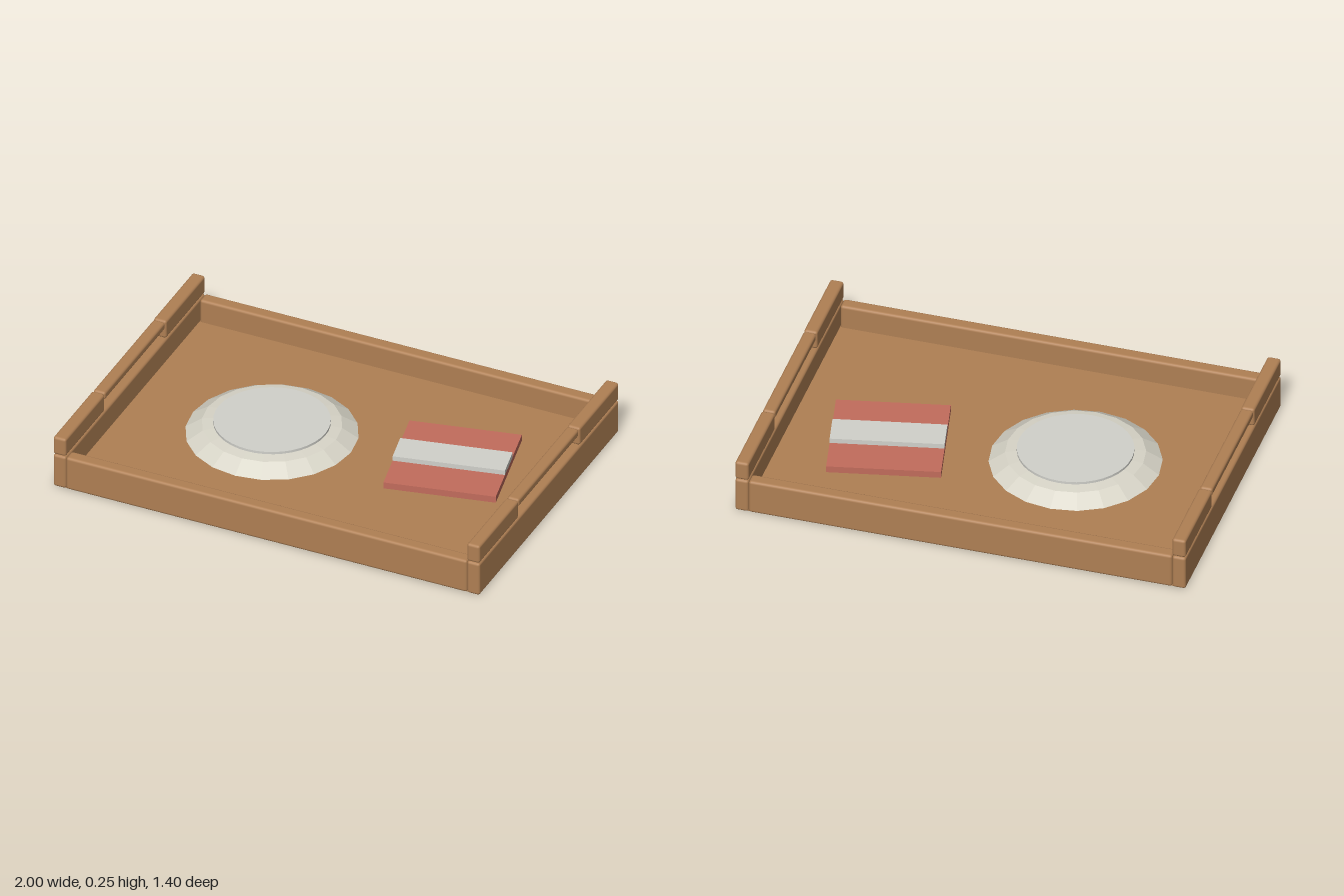
import * as THREE from 'three';
import { RoundedBoxGeometry } from 'three/addons/geometries/RoundedBoxGeometry.js';

const wood = new THREE.MeshStandardMaterial({ color: 0xb08054 });
const ceramic = new THREE.MeshStandardMaterial({ color: 0xd8d5c8, flatShading: true });
const pale = new THREE.MeshStandardMaterial({ color: 0xd1d1cb });
const red = new THREE.MeshStandardMaterial({ color: 0xc26c5c });

const FLOOR = 0.05;

function add(parent, name, geometry, material, x, y, z) {
  const mesh = new THREE.Mesh(geometry, material);
  mesh.name = name;
  mesh.position.set(x, y, z);
  parent.add(mesh);
  return mesh;
}

// Softly rounded plank given by its centre in x and z and its bottom and top
function plank(parent, name, w, d, y0, y1, x, z) {
  const geometry = new RoundedBoxGeometry(w, y1 - y0, d, 2, 0.012);
  return add(parent, name, geometry, wood, x, (y0 + y1) / 2, z);
}

export function createModel() {
  const model = new THREE.Group();
  model.name = 'servingTray';

  // Tray base
  add(model, 'trayFloor', new THREE.BoxGeometry(1.98, FLOOR, 1.38), wood, 0, FLOOR / 2, 0);

  // Front and back walls
  for (const s of [1, -1]) {
    plank(model, s > 0 ? 'frontWall' : 'backWall', 1.88, 0.06, 0, 0.16, 0, s * 0.67);
  }

  // Side walls, each with two raised blocks and a grip bar between them
  for (const s of [1, -1]) {
    const side = new THREE.Group();
    side.name = s > 0 ? 'leftSide' : 'rightSide';
    plank(side, 'sideWall', 0.06, 1.4, 0, 0.16, s * 0.97, 0);
    for (const e of [1, -1]) {
      plank(side, 'handleBlock', 0.06, 0.395, 0.162, 0.25, s * 0.97, e * 0.5025);
    }
    plank(side, 'handleBar', 0.056, 0.605, 0.212, 0.25, s * 0.97, 0);
    model.add(side);
  }

  // Plate: faceted sloping rim with a flat round centre
  const plate = new THREE.Group();
  plate.name = 'plate';
  const profile = [[0, 0], [0.37, 0], [0.3, 0.046], [0.25, 0.053], [0, 0.053]]
    .map(([r, y]) => new THREE.Vector2(r, y));
  add(plate, 'plateRim', new THREE.LatheGeometry(profile, 20), ceramic, 0, 0, 0);
  add(plate, 'plateCentre', new THREE.CylinderGeometry(0.25, 0.25, 0.02, 40), pale, 0, 0.054, 0);
  plate.position.set(-0.3, FLOOR, 0);
  model.add(plate);

  // Folded napkin with a raised stripe
  const napkin = new THREE.Group();
  napkin.name = 'napkin';
  add(napkin, 'napkinCloth', new THREE.BoxGeometry(0.49, 0.03, 0.49), red, 0, 0.015, 0);
  add(napkin, 'napkinStripe', new THREE.BoxGeometry(0.49, 0.025, 0.145), pale, 0, 0.0395, 0);
  napkin.position.set(0.5, FLOOR, -0.1);
  napkin.rotation.y = 0.21;
  model.add(napkin);

  return model;
}
